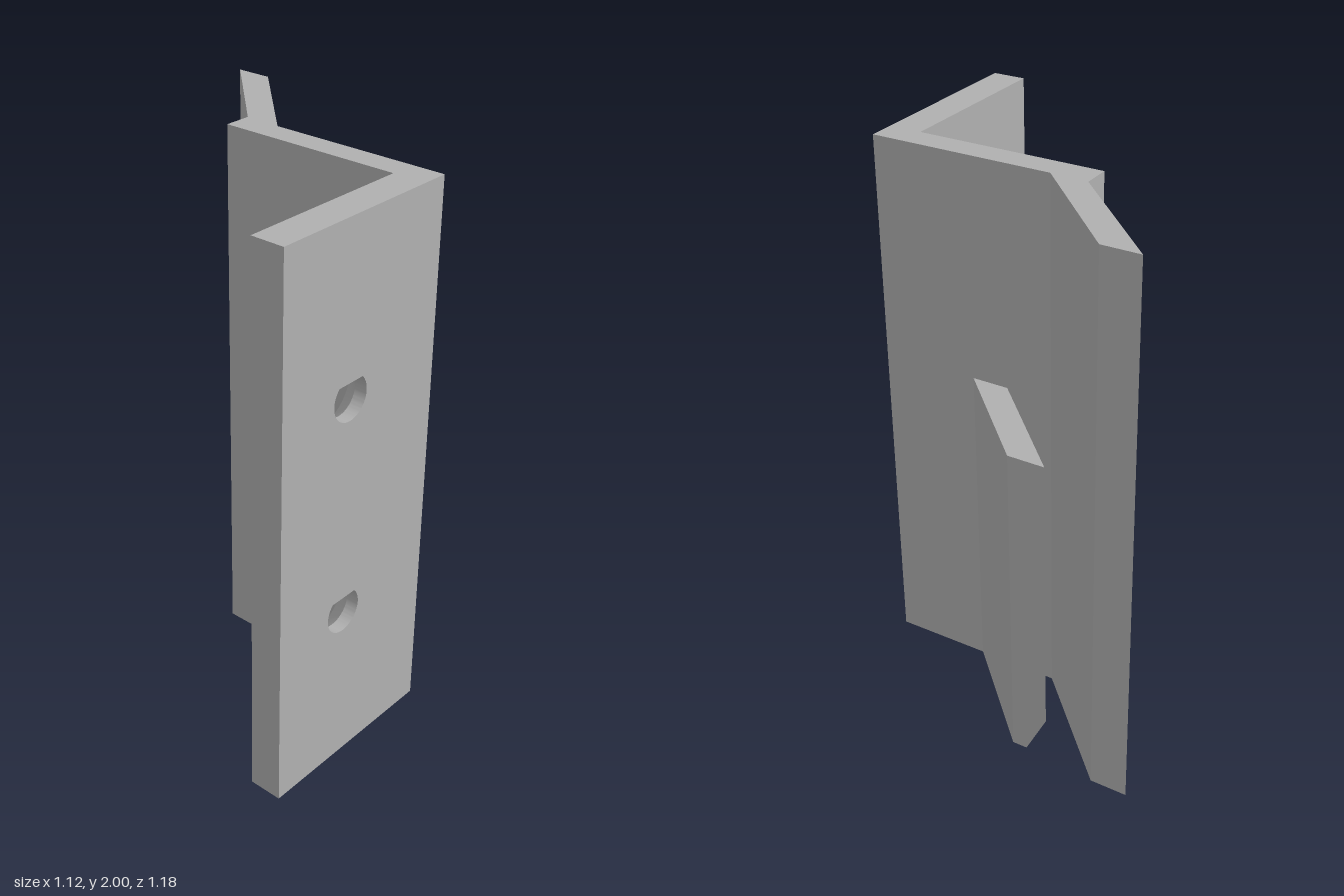
import * as THREE from 'three';
import { toCreasedNormals } from 'three/addons/utils/BufferGeometryUtils.js';

const grey = new THREE.MeshStandardMaterial({ color: 0xb0b0b0 });
grey.name = 'grey';

const HOLE_X = -0.245, HOLE_YS = [0.605, 1.405];
const R_HOLE = 0.078, R_SINK = 0.15;
const Z_BACK = 0.47, Z_SINK = 0.545, Z_FRONT = 0.59;

const shapeOf = pts => new THREE.Shape(pts.map(p => new THREE.Vector2(...p)));
const extrude = (shape, depth) => new THREE.ExtrudeGeometry(shape, { depth, bevelEnabled: false, curveSegments: 32 });

function add(group, name, geometry) {
  const mesh = new THREE.Mesh(toCreasedNormals(geometry, 0.4), grey);
  mesh.name = name;
  group.add(mesh);
}

// Round hole with a 45 degree pointed top
function teardrop(cy, r) {
  const path = new THREE.Path();
  path.moveTo(HOLE_X, cy + r * Math.SQRT2);
  path.absarc(HOLE_X, cy, r, Math.PI * 0.75, Math.PI * 2.25, false);
  path.closePath();
  return path;
}

// One layer of the mounting plate, pierced by both holes
function plateLayer(r, z0, z1) {
  const shape = shapeOf([[-0.56, 0], [0.08, 0], [0.08, 2], [-0.56, 2]]);
  HOLE_YS.forEach(cy => shape.holes.push(teardrop(cy, r)));
  return extrude(shape, z1 - z0).translate(0, 0, z0);
}

export function createModel() {
  const group = new THREE.Group();
  group.name = 'bracket';

  // Web with angled flange: plan profile (x, z) extruded upward
  const plan = [[0.08, 0.59], [0.175, 0.59], [0.175, -0.075], [0.56, -0.457],
    [0.56, -0.592], [0.18, -0.21], [0.08, -0.21]];
  const web = extrude(shapeOf(plan.map(([x, z]) => [x, -z])), 2).rotateX(-Math.PI / 2);
  add(group, 'webAndFlange', web);

  // Mounting plate: straight holes in front, countersunk behind
  add(group, 'mountingPlateFront', plateLayer(R_HOLE, Z_SINK, Z_FRONT));
  const sink = plateLayer(R_SINK, Z_BACK, Z_SINK);
  const p = sink.attributes.position;
  const k = R_HOLE / R_SINK;
  for (let i = 0; i < p.count; i++) {
    const x = p.getX(i), y = p.getY(i);
    if (p.getZ(i) < Z_SINK - 0.01) continue;
    const cy = HOLE_YS.find(c => Math.hypot(x - HOLE_X, y - c) < R_SINK * 1.5);
    if (cy !== undefined) p.setXY(i, HOLE_X + (x - HOLE_X) * k, cy + (y - cy) * k);
  }
  add(group, 'mountingPlateBack', sink);

  // Fin: side section (-z, y) with a chamfered lower back edge, sheared to 45 degrees
  const section = shapeOf([[0, 0], [0.055, 0], [0.135, 0.16], [0.135, 1.2], [0, 1.2]]);
  const fin = extrude(section, 0.36).rotateY(Math.PI / 2);
  fin.applyMatrix4(new THREE.Matrix4().set(
    1, 0, 0, 0.175,
    0, 1, 0, 0,
    -1, 0, 1, 0.231,
    0, 0, 0, 1));
  add(group, 'fin', fin);

  return group;
}
